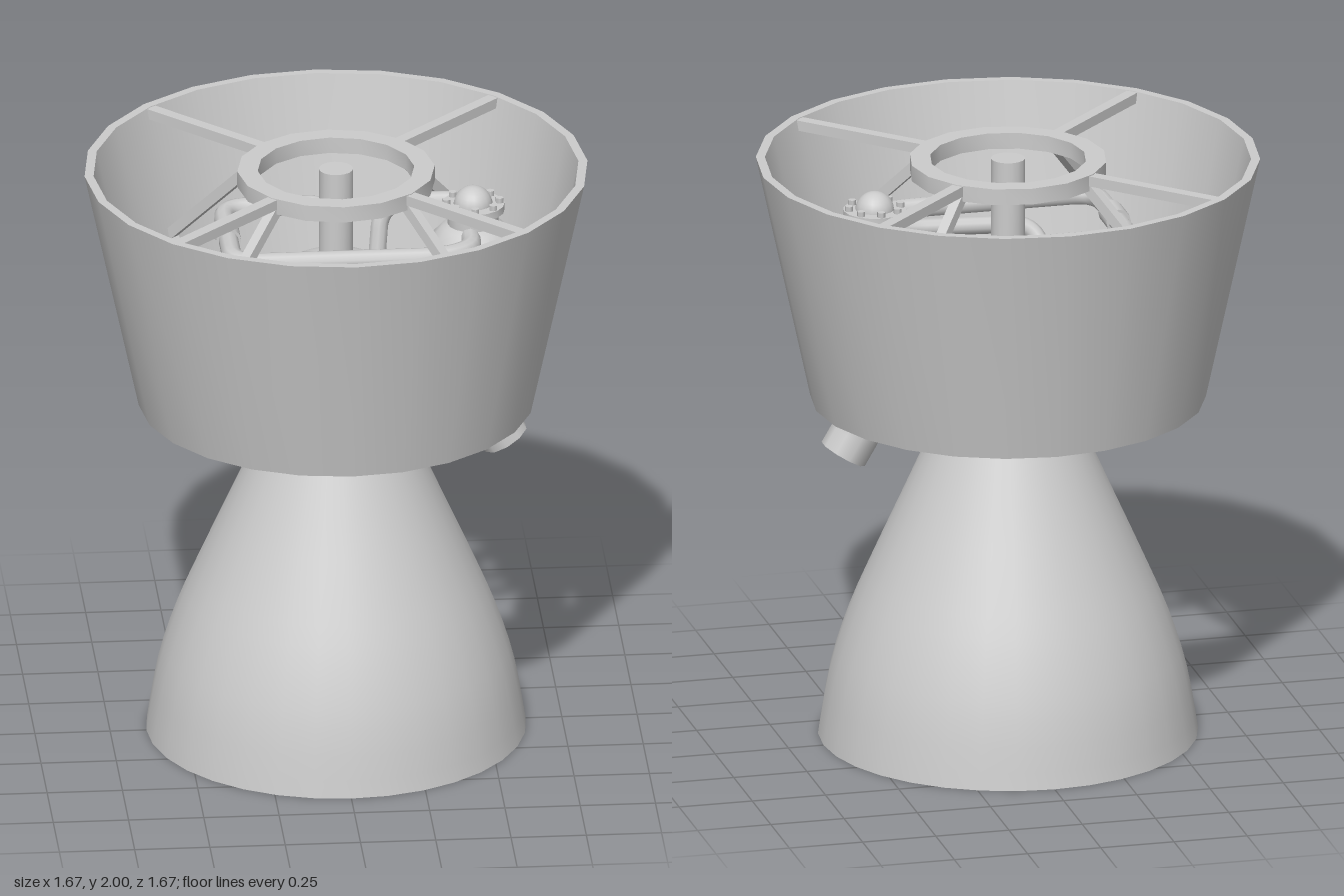
import * as THREE from 'three';
import { toCreasedNormals } from 'three/addons/utils/BufferGeometryUtils.js';

const material = new THREE.MeshStandardMaterial({ color: 0xcccccc, side: THREE.DoubleSide });
const V = (x, y, z) => new THREE.Vector3(x, y, z);

function add(parent, name, geometry, x = 0, y = 0, z = 0) {
  const mesh = new THREE.Mesh(geometry, material);
  mesh.name = name;
  mesh.position.set(x, y, z);
  parent.add(mesh);
  return mesh;
}

// Turned part from [radius, height] pairs, running up the outside
function turned(points, sides) {
  const profile = points.map(([r, y]) => new THREE.Vector2(r, y));
  return toCreasedNormals(new THREE.LatheGeometry(profile, sides), 0.6);
}

// Square-cornered hoop
const hoop = (outer, inner, y0, y1, sides) =>
  turned([[inner, y0], [outer, y0], [outer, y1], [inner, y1], [inner, y0]], sides);

// Pipe made of straight runs joined by rounded bends
function pipePath(points, bend) {
  const path = new THREE.CurvePath();
  let from = points[0];
  for (let i = 1; i < points.length - 1; i++) {
    const p = points[i];
    const toward = (q) => p.clone().add(
      q.clone().sub(p).setLength(Math.min(bend, p.distanceTo(q) * 0.45)));
    const a = toward(points[i - 1]);
    const b = toward(points[i + 1]);
    path.add(new THREE.LineCurve3(from, a));
    path.add(new THREE.QuadraticBezierCurve3(a, p, b));
    from = b;
  }
  path.add(new THREE.LineCurve3(from, points[points.length - 1]));
  return path;
}
const pipe = (points, radius, bend = 0.09) =>
  new THREE.TubeGeometry(pipePath(points, bend), 72, radius, 10);

// Straight bar in the radial plane, between two [radius, height] points
function radialBar(parent, name, [r0, y0], [r1, y1], width, depth) {
  const bar = add(parent, name, new THREE.BoxGeometry(Math.hypot(r1 - r0, y1 - y0), depth, width),
    (r0 + r1) / 2, (y0 + y1) / 2);
  bar.rotation.z = Math.atan2(y1 - y0, r1 - r0);
}

export function createModel() {
  const model = new THREE.Group();
  model.name = 'rocketEngine';

  // Tapered open shroud
  add(model, 'shroud', turned([
    [0.63, 1.17], [0.655, 1.17], [0.835, 2], [0.805, 2], [0.63, 1.17]], 24));

  // Bell nozzle, hollow with a thin wall
  const bell = new THREE.SplineCurve([
    [0.63, 0], [0.592, 0.22], [0.53, 0.42], [0.445, 0.62], [0.355, 0.82], [0.275, 1], [0.235, 1.09],
  ].map(([r, y]) => new THREE.Vector2(r, y))).getPoints(18);
  const outside = bell.map((p) => [p.x, p.y]);
  const inside = bell.map((p) => [p.x - 0.03, p.y]).reverse();
  add(model, 'nozzle', turned([...outside, ...inside, outside[0]], 32));
  add(model, 'nozzleFlange', hoop(0.32, 0.2, 1.07, 1.145, 20));

  // Combustion chamber with a domed head and a central post
  const head = [];
  for (let i = 0; i <= 8; i++) {
    const a = (i / 8) * Math.PI / 2;
    head.push([0.257 * Math.cos(a), 1.52 + 0.17 * Math.sin(a)]);
  }
  add(model, 'chamber', turned([[0, 1.1], [0.257, 1.1], ...head], 24));
  add(model, 'centerPost', toCreasedNormals(new THREE.CylinderGeometry(0.057, 0.057, 0.34, 16), 0.6), 0, 1.83, 0);

  // Thrust ring carried by four arms and paired braces
  add(model, 'thrustRing', hoop(0.328, 0.26, 1.945, 2, 16));
  for (let i = 0; i < 4; i++) {
    const arm = new THREE.Group();
    arm.name = 'supportArm';
    arm.rotation.y = Math.PI / 4 + i * Math.PI / 2;
    radialBar(arm, 'topBeam', [0.31, 1.98], [0.81, 1.98], 0.04, 0.035);
    radialBar(arm, 'upperBrace', [0.31, 1.955], [0.715, 1.57], 0.035, 0.035);
    radialBar(arm, 'lowerBrace', [0.28, 1.13], [0.715, 1.55], 0.035, 0.035);
    model.add(arm);
  }

  // Turbopump: round body, neck, bolted cap
  const pump = new THREE.Group();
  pump.name = 'turbopump';
  pump.position.set(0.455, 0, 0);
  model.add(pump);
  add(pump, 'pumpBody', turned([
    [0, 1.38], [0.08, 1.4], [0.12, 1.46], [0.148, 1.54], [0.15, 1.69], [0.14, 1.74],
    [0.105, 1.78], [0.085, 1.79], [0.085, 1.83], [0.105, 1.835], [0.105, 1.86], [0, 1.86]], 16));
  add(pump, 'pumpCap', new THREE.SphereGeometry(0.065, 16, 8, 0, Math.PI * 2, 0, Math.PI / 2), 0, 1.855, 0);
  for (let i = 0; i < 8; i++) {
    const a = (i * Math.PI) / 4;
    add(pump, 'capBolt', new THREE.CylinderGeometry(0.014, 0.014, 0.02, 6),
      0.088 * Math.cos(a), 1.867, 0.088 * Math.sin(a));
  }

  // Bent exhaust with an open end
  const exhaust = [V(0.46, 1.5, 0), V(0.505, 1.32, 0), V(0.505, 1.11, 0), V(0.563, 1.012, 0)];
  add(model, 'exhaustOuter', pipe(exhaust, 0.082, 0.04));
  add(model, 'exhaustInner', pipe(exhaust, 0.068, 0.04));
  const lip = add(model, 'exhaustLip', new THREE.RingGeometry(0.068, 0.082, 10), 0.563, 1.012, 0);
  lip.lookAt(0.621, 0.914, 0);

  // Feed line: pump, along the front, round the right side, into the dome at the back
  add(model, 'feedPipe', pipe([
    V(0.44, 1.77, 0.05), V(0.44, 1.77, 0.17), V(0.34, 1.77, 0.235), V(-0.36, 1.77, 0.235),
    V(-0.36, 1.77, -0.235), V(0.02, 1.77, -0.235), V(0.02, 1.6, -0.17)], 0.033));
  const sleeve = add(model, 'pipeSleeve',
    toCreasedNormals(new THREE.CylinderGeometry(0.042, 0.042, 0.11, 12), 0.6), -0.36, 1.77, -0.015);
  sleeve.rotation.x = Math.PI / 2;

  // Lower front and rear lines from the pump to the chamber
  add(model, 'frontPipe', pipe([
    V(0.455, 1.72, 0.08), V(0.45, 1.72, 0.2), V(0.3, 1.68, 0.3), V(-0.17, 1.66, 0.3),
    V(-0.19, 1.45, 0.16)], 0.03));
  add(model, 'rearPipe', pipe([
    V(0.455, 1.77, -0.05), V(0.455, 1.77, -0.245), V(0.17, 1.77, -0.245), V(0.14, 1.45, -0.18)], 0.03));

  return model;
}
